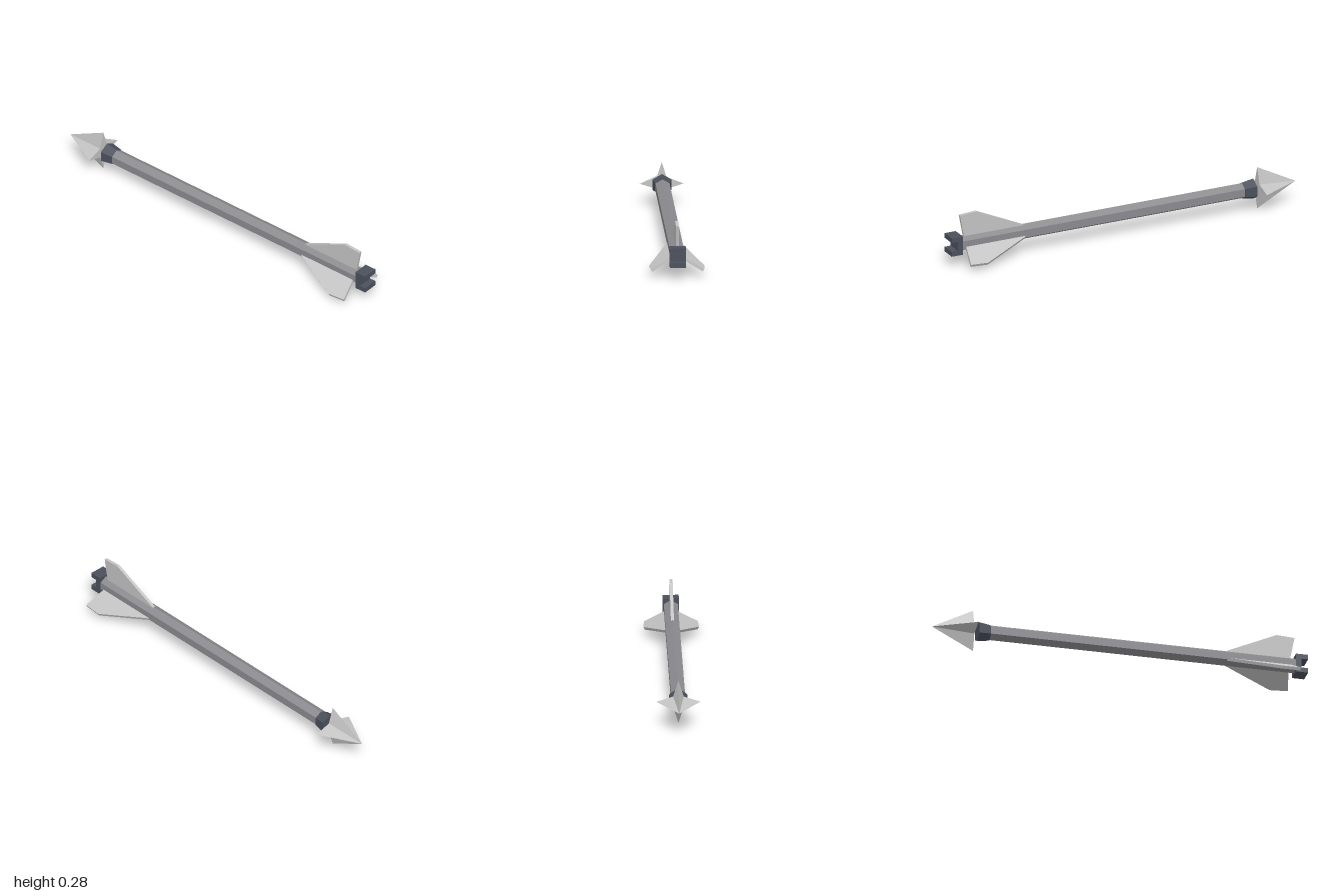
import * as THREE from 'three';

const paint = (name, color) => {
  const m = new THREE.MeshStandardMaterial({ color });
  m.name = name;
  m.flatShading = true;
  return m;
};

// Extrudes a (z, height) outline sideways, centred on x = 0
function plate(points, thickness) {
  const shape = new THREE.Shape(points.map(([z, h]) => new THREE.Vector2(z, h)));
  return new THREE.ExtrudeGeometry(shape, { depth: thickness, bevelEnabled: false })
    .translate(0, 0, -thickness / 2)
    .rotateY(-Math.PI / 2);
}

// Six-sided bar along z, with a corner pointing up
function hexBar(frontRadius, backRadius, zFront, zBack) {
  return new THREE.CylinderGeometry(frontRadius, backRadius, zFront - zBack, 6)
    .rotateX(Math.PI / 2)
    .translate(0, 0, (zFront + zBack) / 2);
}

// Four-pointed star pyramid with its apex towards -z
function starPyramid(outer, inner, zBase, zApex) {
  const corner = (i) => {
    const a = (i * Math.PI) / 4;
    const r = i % 2 ? inner : outer;
    return [r * Math.cos(a), r * Math.sin(a), zBase];
  };
  const positions = [];
  for (let i = 0; i < 8; i++) {
    const a = corner(i), b = corner((i + 1) % 8);
    positions.push(...b, ...a, 0, 0, zApex); // slanted side
    positions.push(...a, ...b, 0, 0, zBase); // base
  }
  const geometry = new THREE.BufferGeometry();
  geometry.setAttribute('position', new THREE.Float32BufferAttribute(positions, 3));
  geometry.computeVertexNormals();
  return geometry;
}

export function createModel() {
  const shaftGrey = paint('shaft grey', 0x8c8c90);
  const paleGrey = paint('pale grey', 0xc4c4c4);
  const slate = paint('dark slate', 0x4b505c);

  const model = new THREE.Group();
  model.name = 'arrow';
  const body = new THREE.Group();
  body.name = 'arrowBody';
  body.position.y = 0.115;
  model.add(body);

  const add = (name, geometry, material) => {
    const mesh = new THREE.Mesh(geometry, material);
    mesh.name = name;
    body.add(mesh);
    return mesh;
  };

  add('shaft', hexBar(0.042, 0.042, 0.938, -0.7), shaftGrey);
  add('collar', hexBar(0.045, 0.056, -0.693, -0.757), slate);
  add('arrowhead', starPyramid(0.115, 0.039, -0.78, -1), paleGrey);

  // Slotted nock at the tail
  const nock = [
    [0.936, -0.05], [1, -0.05], [1, -0.024], [0.965, -0.024],
    [0.965, 0.026], [1, 0.026], [1, 0.052], [0.936, 0.052],
  ];
  add('nock', plate(nock, 0.084), slate);

  // Three fins around the shaft
  const fin = plate([[0.55, 0.03], [0.912, 0.03], [0.936, 0.156], [0.84, 0.162]], 0.016);
  ['topFin', 'rightFin', 'leftFin'].forEach((name, i) => {
    add(name, fin, paleGrey).rotation.z = (i * Math.PI * 2) / 3;
  });

  return model;
}
